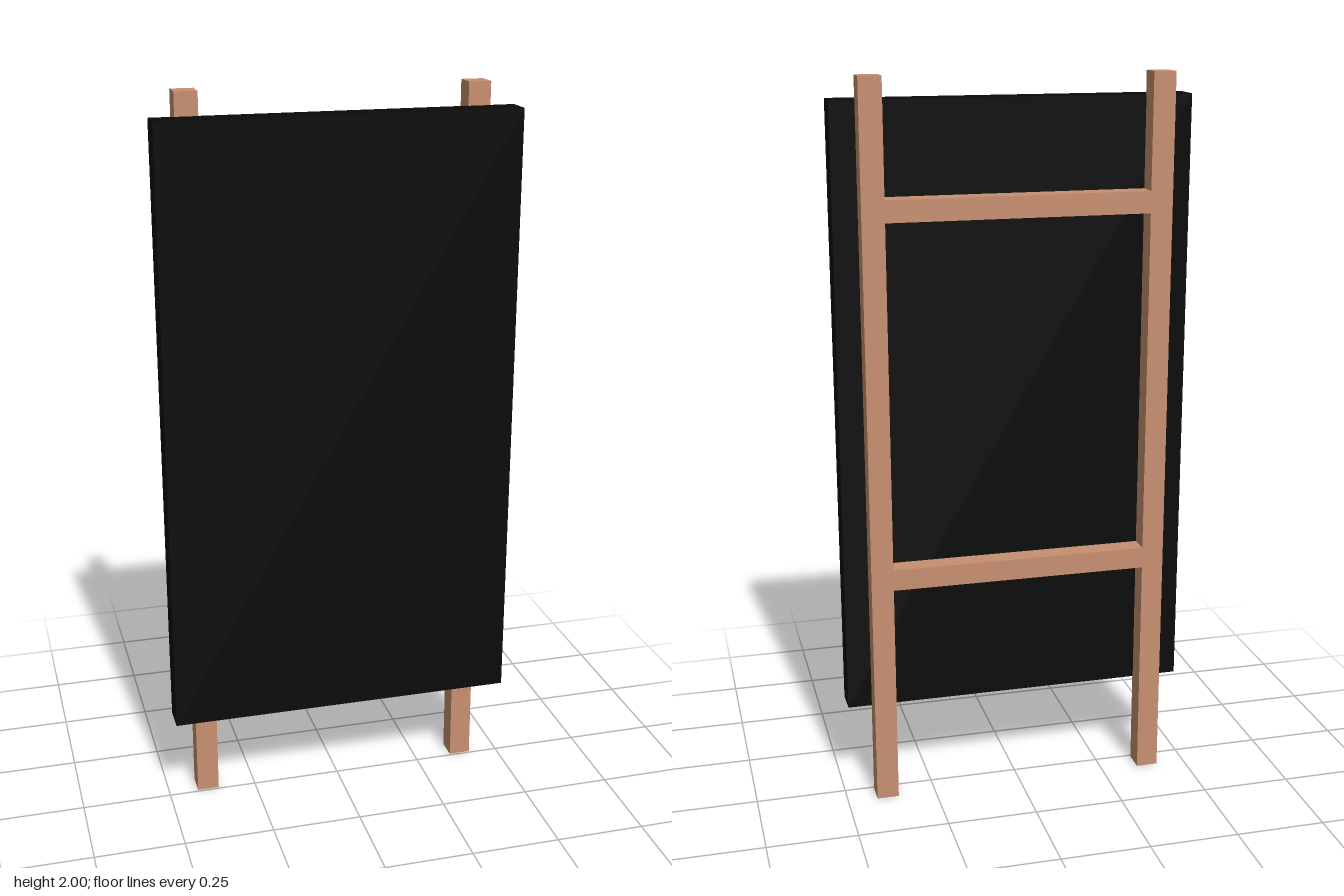
import * as THREE from 'three';

export function createModel() {
  const model = new THREE.Group();
  const wood = new THREE.MeshStandardMaterial({ color: 0xc89070 });
  const black = new THREE.MeshStandardMaterial({ color: 0x0a0a0a });

  // Box given by its size and centre
  const box = (name, material, [w, h, d], [x, y, z]) => {
    const mesh = new THREE.Mesh(new THREE.BoxGeometry(w, h, d), material);
    mesh.name = name;
    mesh.position.set(x, y, z);
    model.add(mesh);
  };

  const beam = 0.061; // thickness of the timber
  const postX = 0.387;
  const frameZ = -0.037;

  // Black board on the front of the frame
  box('board', black, [0.968, 1.674, 0.077], [0, 1.101, 0.029]);

  // Two upright posts
  for (const [side, name] of [[1, 'leftPost'], [-1, 'rightPost']])
    box(name, wood, [beam, 2, beam], [side * postX, 1, frameZ]);

  // Two crossbars between the posts
  for (const [y, name] of [[1.662, 'upperCrossbar'], [0.657, 'lowerCrossbar']])
    box(name, wood, [2 * postX - beam, 0.059, beam], [0, y, frameZ]);

  return model;
}
